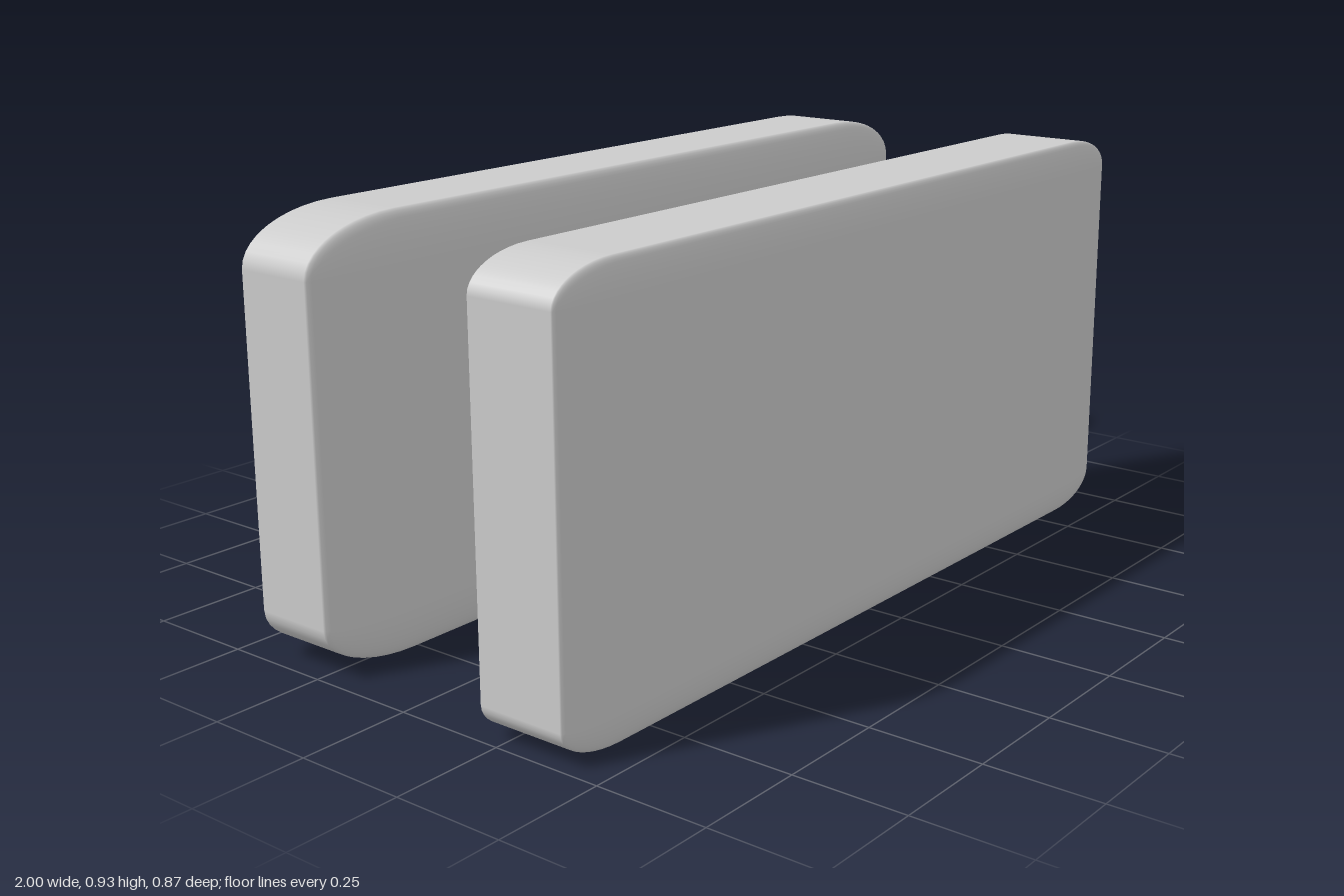
import * as THREE from 'three';
import { RoundedBoxGeometry } from 'three/addons/geometries/RoundedBoxGeometry.js';

const WIDTH = 2, HEIGHT = 0.933, DEPTH = 0.237;

// A rounded unit cube stretched to a slab, so the rounding stretches along with it
function makePanel(name, rounding, z, material) {
  const geometry = new RoundedBoxGeometry(1, 1, 1, 6, rounding);
  geometry.scale(WIDTH, HEIGHT, DEPTH);
  const panel = new THREE.Mesh(geometry, material);
  panel.name = name;
  panel.position.set(0, HEIGHT / 2, z);
  return panel;
}

export function createModel() {
  const group = new THREE.Group();
  group.name = 'panelPair';
  const material = new THREE.MeshStandardMaterial({ color: 0xcccccc });

  // Two parallel upright slabs; the back one has softer edges
  group.add(makePanel('frontPanel', 0.08, 0.314, material));
  group.add(makePanel('backPanel', 0.118, -0.314, material));
  return group;
}
